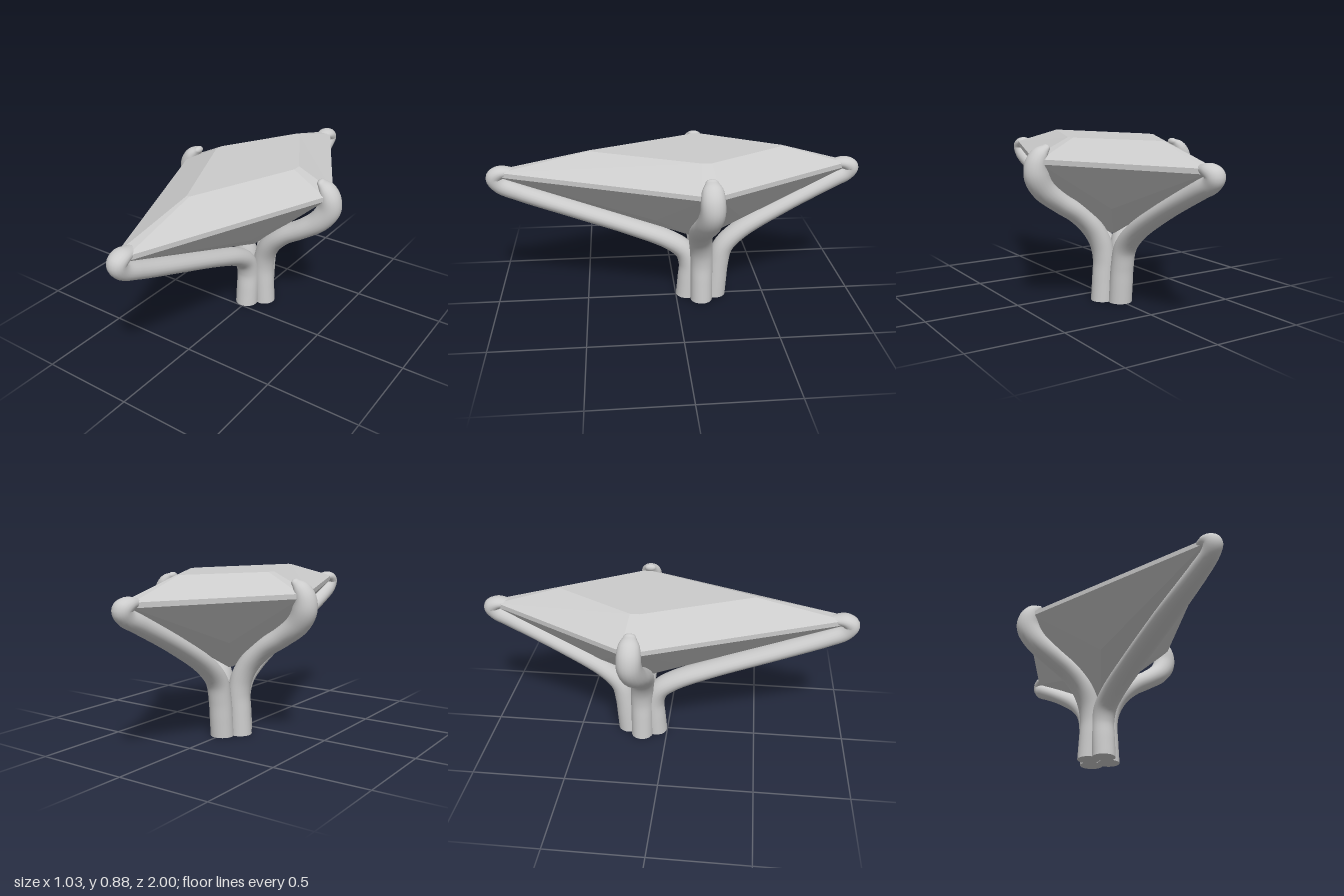
import * as THREE from 'three';

const UP = new THREE.Vector3(0, 1, 0);

// Prong: oval tube swept along a planar path, flat at the base, domed at the tip.
// stations: [outward distance, height, thickness radius, width radius, sideways shift along `drift`]
function prongGeometry(stations, outward, drift, origin) {
  const path = new THREE.CatmullRomCurve3(stations.map(s => new THREE.Vector3(s[0], s[1], 0)));
  const size = new THREE.CatmullRomCurve3(stations.map(s => new THREE.Vector3(s[2], s[3], s[4])));
  const side = UP.clone().cross(outward);
  const sides = 20, steps = 64, domeSteps = 6;
  const rings = [];
  for (let i = 0; i <= steps; i++) {
    const t = i / steps;
    rings.push({ c: path.getPoint(t), tan: path.getTangent(t), s: size.getPoint(t) });
  }
  const end = rings[steps];
  for (let i = 1; i <= domeSteps; i++) {
    const a = (i / domeSteps) * Math.PI / 2;
    const k = Math.max(Math.cos(a), 0.01);
    rings.push({
      c: end.c.clone().addScaledVector(end.tan, end.s.x * Math.sin(a)),
      tan: end.tan,
      s: new THREE.Vector3(end.s.x * k, end.s.y * k, end.s.z),
    });
  }
  rings[0].tan.set(0, 1, 0);

  const pos = [], index = [];
  const addRing = ({ c, tan, s }) => {
    for (let j = 0; j <= sides; j++) {
      const a = (j / sides) * Math.PI * 2;
      const n = Math.cos(a) * s.x, w = Math.sin(a) * s.y;
      const p = origin.clone()
        .addScaledVector(outward, c.x + tan.y * n)
        .addScaledVector(UP, c.y - tan.x * n)
        .addScaledVector(side, w)
        .addScaledVector(drift, s.z);
      pos.push(p.x, p.y, p.z);
    }
  };
  rings.forEach(addRing);
  const row = sides + 1;
  for (let i = 0; i < rings.length - 1; i++) {
    for (let j = 0; j < sides; j++) {
      const a = i * row + j, b = a + 1, d = a + row, c = d + 1;
      index.push(a, b, c, a, c, d);
    }
  }
  // flat base with its own vertices, for a crisp edge
  const base = pos.length / 3;
  addRing(rings[0]);
  for (let j = 1; j < sides - 1; j++) index.push(base, base + j + 1, base + j);

  const g = new THREE.BufferGeometry();
  g.setAttribute('position', new THREE.Float32BufferAttribute(pos, 3));
  g.setIndex(index);
  g.computeVertexNormals();
  // weld the shading across the seam
  const nor = g.attributes.normal;
  for (let i = 0; i < rings.length; i++) {
    const a = i * row, b = a + sides;
    const n = new THREE.Vector3().fromBufferAttribute(nor, a)
      .add(new THREE.Vector3().fromBufferAttribute(nor, b)).normalize();
    nor.setXYZ(a, n.x, n.y, n.z);
    nor.setXYZ(b, n.x, n.y, n.z);
  }
  return g;
}

// Gem layer: a kite with clipped corners, counterclockwise seen from above
function kite(y, halfX, front, back, clipX, clipZ) {
  const z = -0.135;
  return [
    [clipX, y, front], [halfX, y, z + clipZ], [halfX, y, z - clipZ], [clipX, y, back],
    [-clipX, y, back], [-halfX, y, z - clipZ], [-halfX, y, z + clipZ], [-clipX, y, front],
  ];
}

function gemGeometry() {
  const layers = [
    kite(0.362, 0.008, -0.11, -0.16, 0.003, 0.008), // culet
    kite(0.757, 0.445, 0.925, -0.915, 0.028, 0.045), // girdle, lower edge
    kite(0.782, 0.445, 0.925, -0.915, 0.028, 0.045), // girdle, upper edge
    kite(0.88, 0.25, 0.455, -0.57, 0.008, 0.025),   // table
  ];
  const pos = [];
  const tri = (a, b, c) => pos.push(...a, ...b, ...c);
  for (let i = 0; i < 3; i++) {
    const lo = layers[i], hi = layers[i + 1];
    for (let j = 0; j < 8; j++) {
      const k = (j + 1) % 8;
      if (i === 0 && j % 2 === 0) {
        // each long lower face breaks around a bulging point
        const p = [j < 4 ? 0.135 : -0.135, 0.53, j === 0 || j === 6 ? 0.12 : -0.34];
        const rim = [lo[j], lo[k], hi[k], hi[j]];
        rim.forEach((v, n) => tri(p, v, rim[(n + 1) % 4]));
      } else {
        tri(lo[j], lo[k], hi[k]);
        tri(lo[j], hi[k], hi[j]);
      }
    }
  }
  const bottom = layers[0], top = layers[3];
  for (let j = 1; j < 7; j++) {
    tri(top[0], top[j], top[j + 1]);
    tri(bottom[0], bottom[j + 1], bottom[j]);
  }
  const g = new THREE.BufferGeometry();
  g.setAttribute('position', new THREE.Float32BufferAttribute(pos, 3));
  g.computeVertexNormals();
  return g;
}

export function createModel() {
  const group = new THREE.Group();
  const smooth = new THREE.MeshStandardMaterial({ color: 0xcccccc });
  const faceted = new THREE.MeshStandardMaterial({ color: 0xcccccc, flatShading: true });
  const add = (name, geometry, material) => {
    const mesh = new THREE.Mesh(geometry, material);
    mesh.name = name;
    group.add(mesh);
  };

  add('gem', gemGeometry(), faceted);

  // Side prongs
  const sideStations = [
    [0.062, 0, 0.061, 0.061, 0], [0.056, 0.12, 0.059, 0.061, 0], [0.052, 0.22, 0.058, 0.062, 0],
    [0.068, 0.31, 0.058, 0.063, 0.005], [0.114, 0.395, 0.056, 0.065, 0.015], [0.2, 0.478, 0.053, 0.066, 0.022],
    [0.312, 0.55, 0.054, 0.066, 0.02], [0.405, 0.622, 0.06, 0.064, 0.01], [0.45, 0.695, 0.064, 0.063, 0],
    [0.453, 0.755, 0.055, 0.061, 0], [0.431, 0.802, 0.042, 0.054, 0], [0.398, 0.832, 0.02, 0.032, 0],
  ];
  const sideOrigin = new THREE.Vector3(0, 0, -0.14), Z = new THREE.Vector3(0, 0, 1), X = new THREE.Vector3(1, 0, 0);
  for (const [name, s] of [['leftProng', 1], ['rightProng', -1]]) {
    add(name, prongGeometry(sideStations, new THREE.Vector3(s, 0, 0), Z, sideOrigin), smooth);
  }

  // Long front prong
  add('frontProng', prongGeometry([
    [-0.063, 0, 0.062, 0.064, -0.01], [-0.07, 0.1, 0.06, 0.064, -0.01], [-0.075, 0.2, 0.058, 0.063, -0.01],
    [-0.045, 0.28, 0.056, 0.064, -0.012], [0.04, 0.345, 0.052, 0.066, -0.012], [0.25, 0.438, 0.047, 0.067, -0.01],
    [0.55, 0.553, 0.046, 0.066, -0.008], [0.84, 0.662, 0.046, 0.052, -0.005], [0.93, 0.705, 0.046, 0.046, -0.005],
    [0.955, 0.745, 0.045, 0.048, -0.005], [0.925, 0.772, 0.036, 0.05, -0.005], [0.862, 0.775, 0.023, 0.038, -0.005],
  ], Z, X, new THREE.Vector3()), smooth);

  // Shorter back prong
  add('backProng', prongGeometry([
    [0.222, 0, 0.061, 0.063, 0], [0.23, 0.1, 0.06, 0.063, 0], [0.24, 0.2, 0.058, 0.062, 0],
    [0.265, 0.3, 0.056, 0.062, 0], [0.35, 0.392, 0.051, 0.064, 0], [0.58, 0.535, 0.046, 0.065, 0],
    [0.86, 0.682, 0.046, 0.052, 0], [0.93, 0.717, 0.046, 0.046, 0], [0.952, 0.748, 0.045, 0.048, 0],
    [0.92, 0.772, 0.035, 0.05, 0], [0.862, 0.775, 0.023, 0.038, 0],
  ], Z.clone().negate(), X, new THREE.Vector3()), smooth);

  return group;
}
